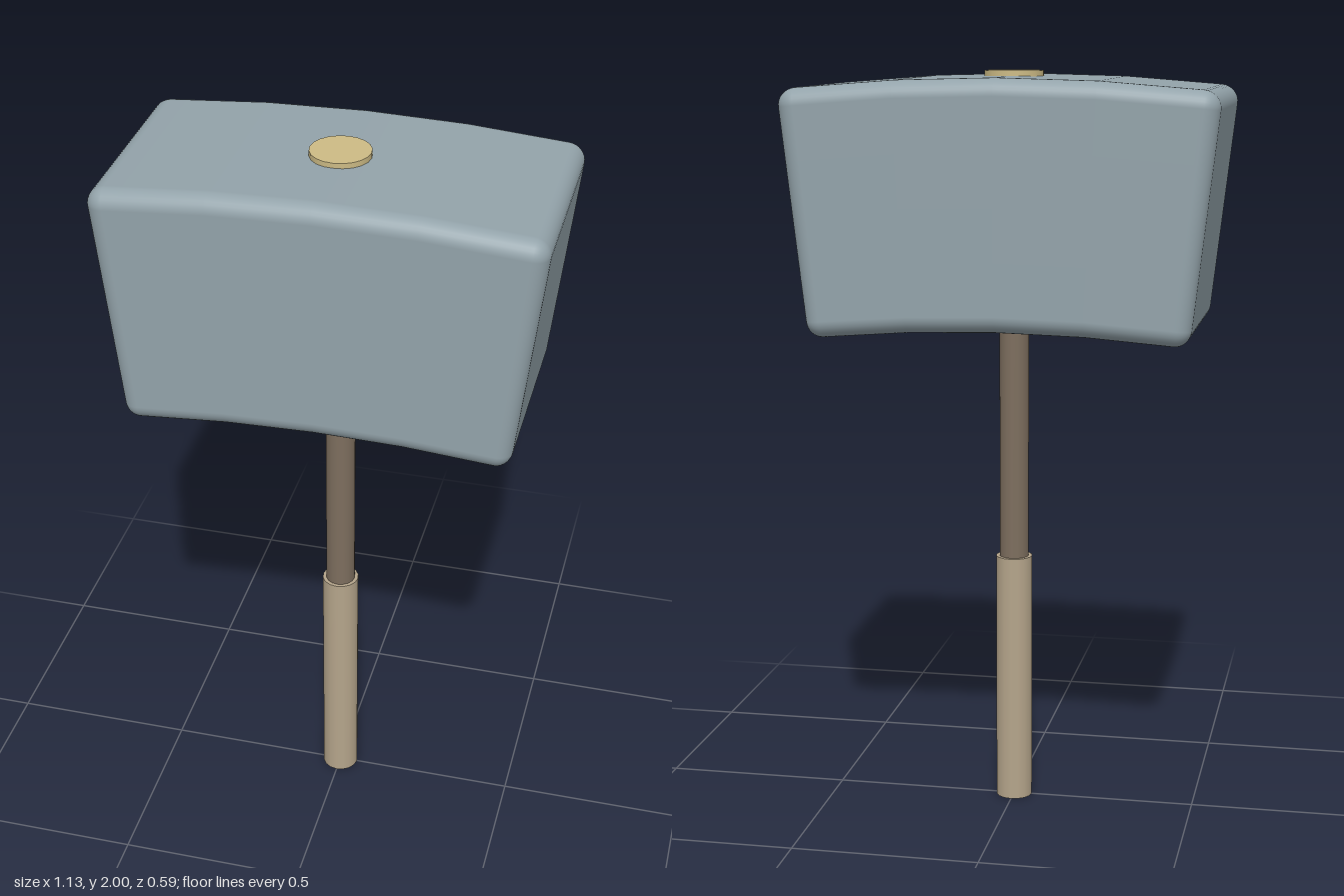
import * as THREE from 'three';

const CORNER = 4, MIDDLE = 4, N = CORNER * 2 + MIDDLE;

// Maps a grid line (0..N) to a coordinate, packing lines into the rounded edges
function gridLine(i, half, r) {
  const inner = half - r;
  if (i < CORNER) return -inner - r * Math.tan((1 - i / CORNER) * Math.PI / 4);
  if (i > N - CORNER) return -gridLine(N - i, half, r);
  return -inner + 2 * inner * (i - CORNER) / MIDDLE;
}

// Rounded box bent downwards at both ends along x
function bentRoundedBox(half, r, bendRadius) {
  const geo = new THREE.BoxGeometry(2, 2, 2, N, N, N);
  const pos = geo.attributes.position, nor = geo.attributes.normal;
  const p = new THREE.Vector3(), core = new THREE.Vector3(), n = new THREE.Vector3();
  const inner = half.clone().subScalar(r), innerMin = inner.clone().negate();
  const axis = new THREE.Vector3(0, 0, 1);
  for (let i = 0; i < pos.count; i++) {
    p.fromBufferAttribute(pos, i);
    for (const k of ['x', 'y', 'z']) p[k] = gridLine(Math.round((p[k] + 1) / 2 * N), half[k], r);
    core.copy(p).clamp(innerMin, inner);
    n.copy(p).sub(core).normalize();
    p.copy(core).addScaledVector(n, r);
    const a = p.x / bendRadius, rho = bendRadius + p.y;
    pos.setXYZ(i, rho * Math.sin(a), rho * Math.cos(a) - bendRadius, p.z);
    n.applyAxisAngle(axis, -a);
    nor.setXYZ(i, n.x, n.y, n.z);
  }
  return geo;
}

export function createModel() {
  const model = new THREE.Group();
  model.name = 'mallet';
  const add = (name, geometry, color, y) => {
    const mesh = new THREE.Mesh(geometry, new THREE.MeshStandardMaterial({ color }));
    mesh.name = name;
    mesh.position.y = y;
    model.add(mesh);
  };
  const rod = (name, radius, y0, y1, color, sides) =>
    add(name, new THREE.CylinderGeometry(radius, radius, y1 - y0, sides), color, (y0 + y1) / 2);

  // Head
  add('head', bentRoundedBox(new THREE.Vector3(0.535, 0.322, 0.295), 0.045, 4.75), 0x93a3aa, 1.665);

  // Handle: shaft, thicker grip and the end plug on top of the head
  rod('shaft', 0.04, 0.6, 1.9, 0x7d6e5e, 16);
  rod('grip', 0.05, 0, 0.69, 0xb5a58b, 16);
  rod('plug', 0.078, 1.9, 2, 0xcdbb85, 20);

  return model;
}
